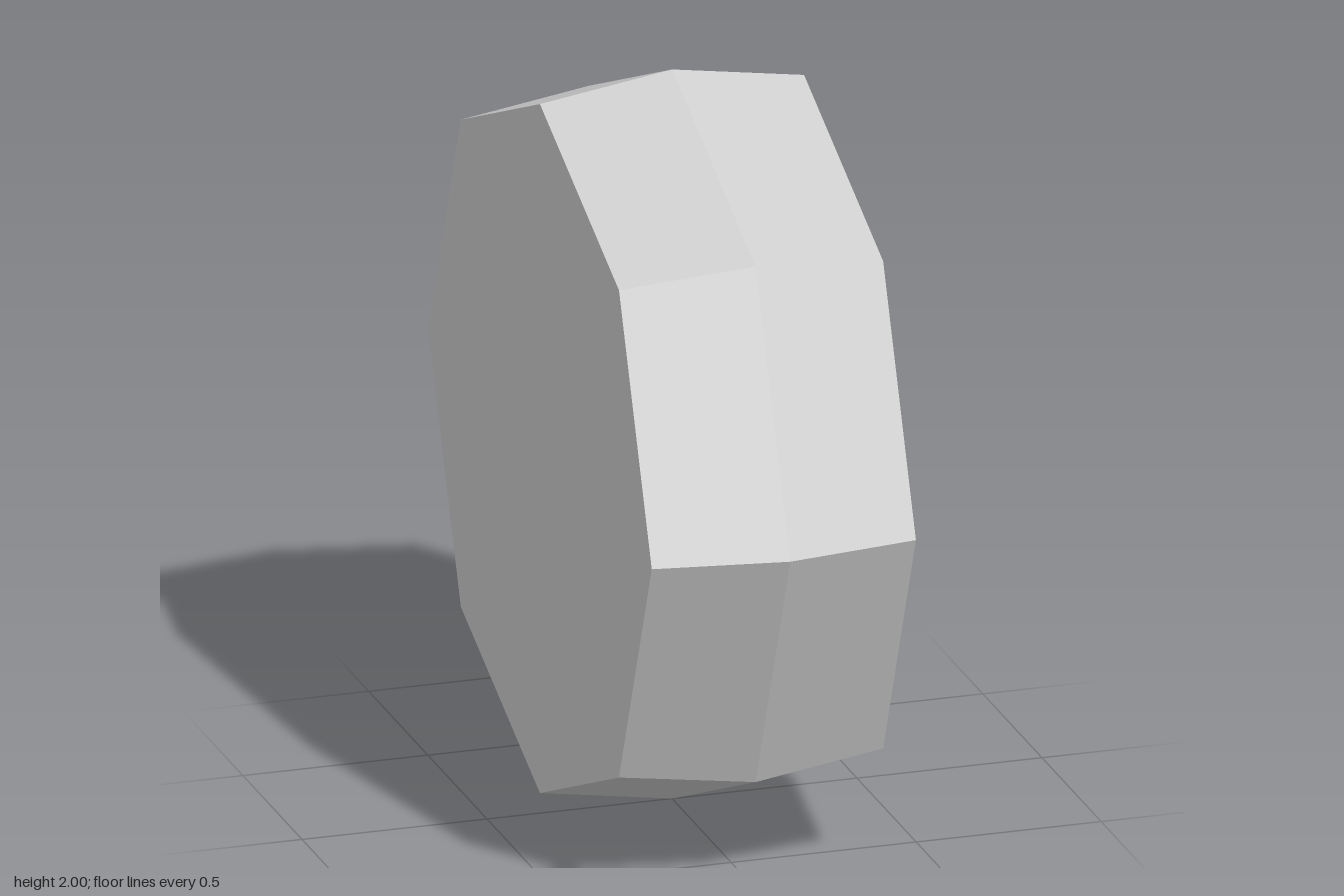
import * as THREE from 'three';

const SIDES = 8;
const HALF = 0.357;     // half the tyre width
const SPOKE_TOP = 0.313;
const PANEL = 0.25;     // depth of the recessed disc
const SPOKE_W = 0.07;

export function createModel() {
  const grey = new THREE.MeshStandardMaterial({ color: 0xcccccc, flatShading: true });
  grey.name = 'light grey';

  // Everything is built around the y axis, then tipped so the axle lies on x.
  const wheel = new THREE.Group();
  wheel.name = 'wheel';
  wheel.rotation.z = -Math.PI / 2;
  wheel.position.y = 1;

  const add = (name, geometry, parent = wheel) => {
    const mesh = new THREE.Mesh(geometry, grey);
    mesh.name = name;
    parent.add(mesh);
    return mesh;
  };
  // Eight-sided turned part from [radius, height] pairs
  const turned = (points) =>
    new THREE.LatheGeometry(points.map(([r, h]) => new THREE.Vector2(r, h)), SIDES);

  // Tyre with crowned tread and closed inner side
  add('tyre', turned([[0, -HALF], [0.945, -HALF], [1, 0], [0.945, HALF], [0.785, HALF]]));
  // Bevelled rim and recessed disc
  add('rim', turned([[0.785, HALF], [0.725, SPOKE_TOP], [0.725, PANEL], [0, PANEL]]));
  // Bevelled hub cap
  add('hub', turned([[0.165, PANEL], [0.165, 0.3], [0.12, 0.345], [0, 0.345]]));

  // Spokes, each with a small ramp up into the rim corner
  const inner = 0.1, outer = 0.72, base = PANEL - 0.02;
  const spokeGeometry = new THREE.BoxGeometry(SPOKE_W, SPOKE_TOP - base, outer - inner);
  spokeGeometry.translate(0, (SPOKE_TOP + base) / 2, (inner + outer) / 2);

  const rampGeometry = new THREE.BufferGeometry();
  rampGeometry.setAttribute('position', new THREE.Float32BufferAttribute([
    SPOKE_W / 2, SPOKE_TOP, 0.71,
    -SPOKE_W / 2, SPOKE_TOP, 0.71,
    0, HALF, 0.785,
  ], 3));
  rampGeometry.computeVertexNormals();

  for (let i = 0; i < SIDES; i++) {
    const spoke = new THREE.Group();
    spoke.name = 'spoke';
    spoke.rotation.y = (i / SIDES) * Math.PI * 2;
    add('spokeBar', spokeGeometry, spoke);
    add('spokeRamp', rampGeometry, spoke);
    wheel.add(spoke);
  }

  const model = new THREE.Group();
  model.name = 'wheelModel';
  model.add(wheel);
  return model;
}
